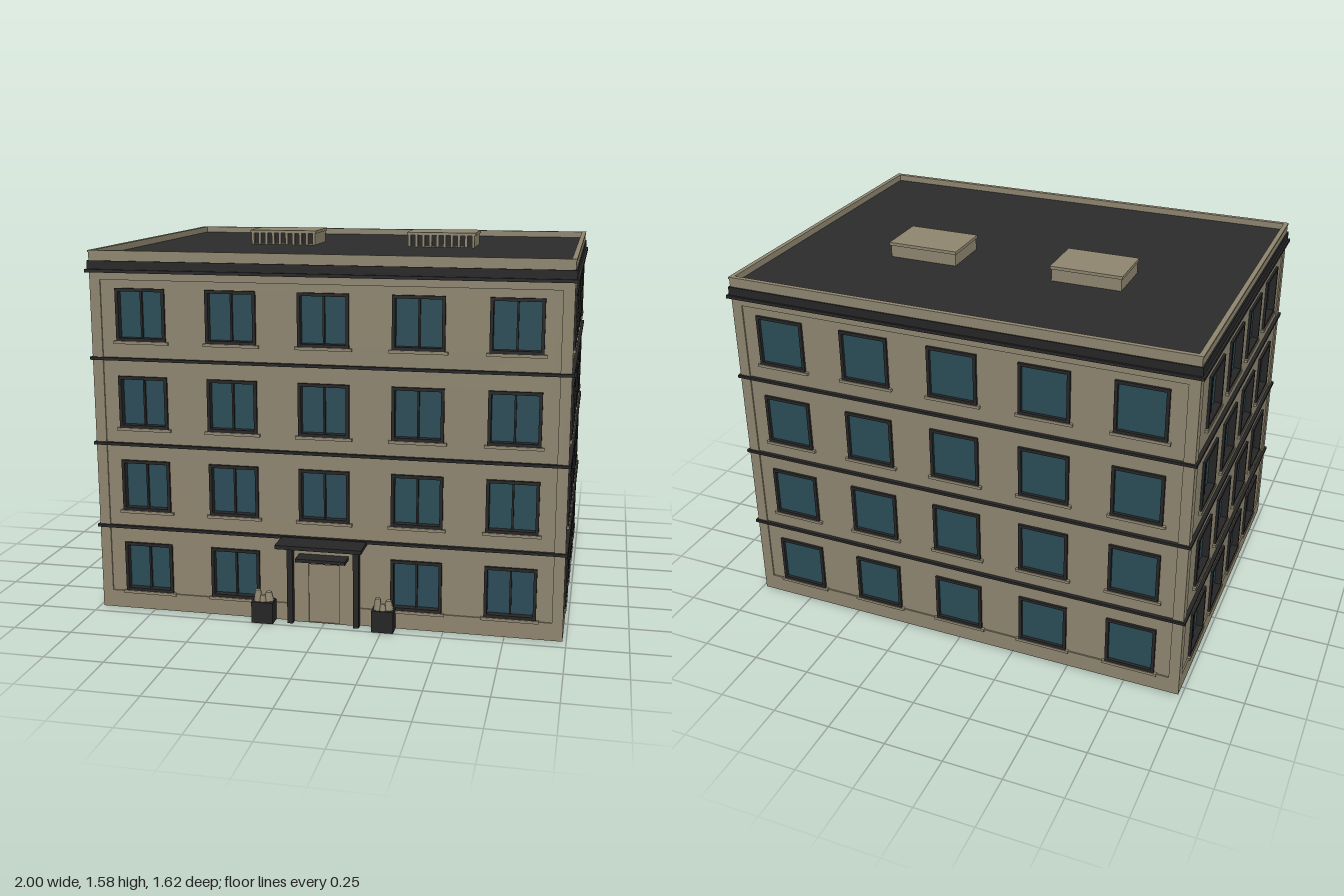
import * as THREE from 'three';

const mat = (name, color, side = THREE.FrontSide) => {
  const m = new THREE.MeshStandardMaterial({ color, side });
  m.name = name;
  return m;
};

export function createModel() {
  const stone = mat('stone', 0x8f8670);
  const trim = mat('dark trim', 0x262626);
  const roofing = mat('roofing', 0x2c2c2c);
  const glass = mat('window glass', 0x2b4c57);
  const model = new THREE.Group();
  model.name = 'apartmentBuilding';

  const add = (parent, name, geo, material) => {
    const m = new THREE.Mesh(geo, material);
    m.name = name;
    parent.add(m);
    return m;
  };
  // Box given by its minimum and maximum on each axis
  const box = (parent, name, material, x0, x1, y0, y1, z0, z1) => {
    const m = add(parent, name, new THREE.BoxGeometry(x1 - x0, y1 - y0, z1 - z0), material);
    m.position.set((x0 + x1) / 2, (y0 + y1) / 2, (z0 + z1) / 2);
    return m;
  };
  const trace = (path, x0, x1, y0, y1) => {
    path.moveTo(x0, y0);
    path.lineTo(x1, y0);
    path.lineTo(x1, y1);
    path.lineTo(x0, y1);
    path.closePath();
    return path;
  };
  // Plate with rectangular holes, running from depth z0 to z1
  const plate = (parent, name, material, rect, holes, z0, z1) => {
    const shape = trace(new THREE.Shape(), ...rect);
    for (const h of holes) shape.holes.push(trace(new THREE.Path(), ...h));
    const geo = new THREE.ExtrudeGeometry(shape, { depth: z1 - z0, bevelEnabled: false });
    geo.translate(0, 0, z0);
    return add(parent, name, geo, material);
  };

  const X = 0.985, Z = 0.745, CZ = -0.055; // half width, half depth, centre of the block
  const block = new THREE.Group();
  block.name = 'block';
  block.position.z = CZ;
  model.add(block);

  // Plinth, frieze and corner pilasters frame the recessed wall panels
  box(block, 'plinth', stone, -X, X, 0, 0.075, -Z, Z);
  box(block, 'frieze', stone, -X, X, 1.42, 1.46, -Z, Z);
  for (const sx of [-1, 1]) for (const sz of [-1, 1]) {
    const p = box(block, 'cornerPilaster', stone, -0.0225, 0.0225, 0.07, 1.43, -0.0225, 0.0225);
    p.position.x = sx * (X - 0.0225);
    p.position.z = sz * (Z - 0.0225);
  }

  // Walls with their windows
  const floors = [[0.08, 0.297], [0.44, 0.66], [0.80, 1.02], [1.168, 1.387]];
  const R = 0.006, W = 0.106, F = 0.013; // panel recess, window half width, frame width
  const longCols = [-0.77, -0.385, 0, 0.385, 0.77];
  const shortCols = [-0.485, -0.162, 0.162, 0.485];

  function facade(name, angle, dist, half, cols, glassDepth, mullions, hasDoor) {
    const g = new THREE.Group();
    g.name = name;
    g.rotation.y = angle;
    g.position.set(Math.sin(angle) * dist, 0, Math.cos(angle) * dist);
    block.add(g);
    const holes = [];
    floors.forEach(([y0, y1], floor) => {
      for (const c of cols) {
        if (hasDoor && floor === 0 && c === 0) continue;
        const rect = [c - W, c + W, y0, y1];
        const inner = [c - W + F, c + W - F, y0 + F, y1 - F];
        holes.push(rect);
        plate(g, 'windowFrame', trim, rect, [inner], -0.044, 0.004);
        const pane = add(g, 'windowPane', new THREE.PlaneGeometry(2 * W - F, y1 - y0 - F), glass);
        pane.position.set(c, (y0 + y1) / 2, -glassDepth);
        if (mullions) {
          box(g, 'mullion', trim, c - 0.004, c + 0.004, y0 + F, y1 - F, -glassDepth, -glassDepth + 0.012);
        }
        box(g, 'windowSill', stone, c - 0.118, c + 0.118, y0 - 0.012, y0, -0.02, 0.007);
      }
    });
    plate(g, 'wallPanel', stone, [-half, half, 0.07, 1.425], holes, -0.045, -R);
  }
  facade('frontFacade', 0, Z, 0.945, longCols, 0.026, true, true);
  facade('backFacade', Math.PI, Z, 0.945, longCols, 0.009, false, false);
  facade('eastFacade', Math.PI / 2, X, 0.705, shortCols, 0.009, false, false);
  facade('westFacade', -Math.PI / 2, X, 0.705, shortCols, 0.026, true, false);

  // String courses, cornice, parapet and roof
  const ring = (name, material, out, thick, y0, y1) => {
    const a = X + out, b = Z + out;
    const m = plate(block, name, material, [-a, a, -b, b],
      [[-a + thick, a - thick, -b + thick, b - thick]], y0, y1);
    m.rotation.x = -Math.PI / 2;
  };
  for (const y of [0.366, 0.729, 1.092]) ring('stringCourse', trim, 0.009, 0.03, y - 0.006, y + 0.006);
  ring('corniceLip', trim, 0.015, 0.04, 1.45, 1.463);
  ring('cornice', trim, 0.006, 0.03, 1.463, 1.498);
  ring('parapet', stone, 0.0, 0.016, 1.498, 1.532);
  ring('parapetCap', stone, 0.003, 0.02, 1.532, 1.54);
  box(block, 'roof', roofing, -X + 0.01, X - 0.01, 1.46, 1.512, -Z + 0.01, Z - 0.01);

  // Roof vents with louvred fronts
  for (const s of [-1, 1]) {
    const vent = new THREE.Group();
    vent.name = 'roofVent';
    vent.position.set(s * 0.365, 0, -0.18);
    model.add(vent);
    box(vent, 'ventBody', stone, -0.15, 0.15, 1.51, 1.568, -0.105, 0.095);
    box(vent, 'ventLid', stone, -0.155, 0.155, 1.564, 1.577, -0.11, 0.11);
    box(vent, 'ventOpening', trim, -0.14, 0.14, 1.515, 1.564, 0.09, 0.097);
    for (let i = 0; i < 10; i++) {
      const x = -0.144 + i * 0.032;
      box(vent, 'ventSlat', stone, x - 0.006, x + 0.006, 1.51, 1.565, 0.09, 0.108);
    }
  }

  // Entrance: stepped surround, door, posts and canopy
  const entrance = new THREE.Group();
  entrance.name = 'entrance';
  entrance.position.z = 0.69;
  model.add(entrance);
  plate(entrance, 'doorSurround', stone, [-0.13, 0.13, 0, 0.33], [[-0.065, 0.065, 0.002, 0.257]], -0.005, 0.008);
  box(entrance, 'door', stone, -0.066, 0.066, 0, 0.258, -0.006, 0.002);
  box(entrance, 'doorHood', trim, -0.105, 0.105, 0.287, 0.301, 0, 0.08);
  for (const s of [-1, 1]) {
    const post = box(entrance, 'canopyPost', trim, -0.012, 0.012, 0, 0.335, 0, 0.035);
    post.position.x = s * 0.14;
  }
  box(entrance, 'canopyBeam', trim, -0.155, 0.155, 0.325, 0.353, 0, 0.04);
  box(entrance, 'canopy', trim, -0.18, 0.18, 0.352, 0.368, -0.005, 0.12);

  // Planters with small shrubs beside the door
  for (const s of [-1, 1]) {
    const planter = new THREE.Group();
    planter.name = 'planter';
    planter.position.set(s * 0.255, 0, 0.72);
    model.add(planter);
    box(planter, 'planterBox', trim, -0.046, 0.046, 0, 0.092, -0.03, 0.03);
    for (const [x, z, r, h] of [[-0.022, 0.005, 0.02, 0.05], [0.022, -0.004, 0.022, 0.04], [0, 0.01, 0.016, 0.03]]) {
      const shrub = add(planter, 'shrub', new THREE.CylinderGeometry(r * 0.6, r, h, 6), stone);
      shrub.position.set(x, 0.09 + h / 2, z);
    }
  }
  return model;
}
